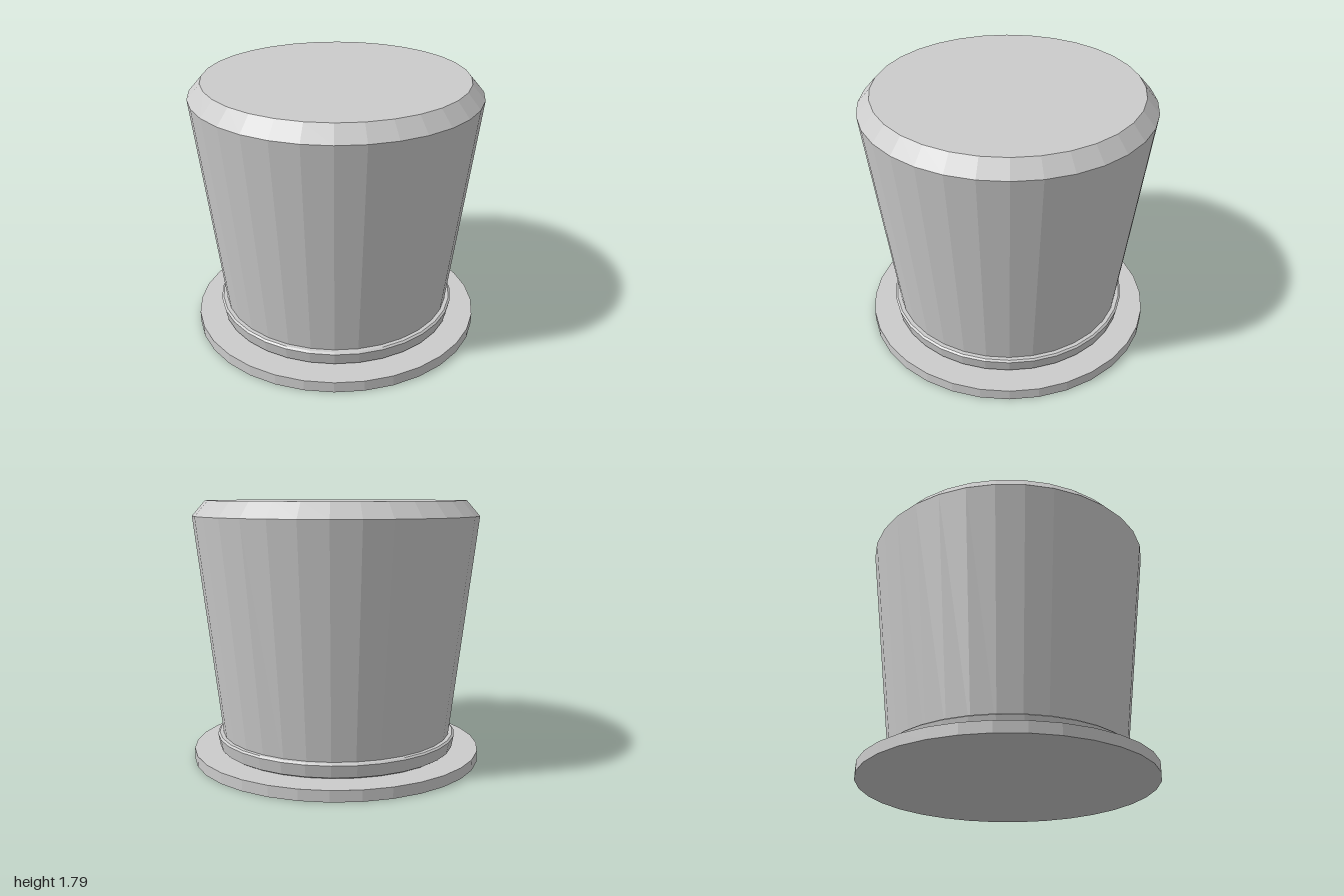
import * as THREE from 'three';

const SIDES = 32;

// Faceted solid of revolution; profile is [radius, y], listed from bottom to top.
function turned(name, profile) {
  const points = profile.map(([r, y]) => new THREE.Vector2(r, y));
  const material = new THREE.MeshStandardMaterial({ color: 0xcccccc, flatShading: true });
  const mesh = new THREE.Mesh(new THREE.LatheGeometry(points, SIDES), material);
  mesh.name = name;
  return mesh;
}

export function createModel() {
  const hat = new THREE.Group();
  hat.name = 'topHat';

  // Flat disc brim
  hat.add(turned('brim', [[0, 0], [1, 0], [1, 0.075], [0, 0.075]]));

  // Flared hat band with small bevels, wrapped round the foot of the crown
  hat.add(turned('band', [[0.78, 0.075], [0.805, 0.08], [0.822, 0.09], [0.838, 0.172], [0.825, 0.183], [0.79, 0.183]]));

  // Crown widening upward, with a chamfered top edge
  hat.add(turned('crown', [[0.785, 0.075], [0.978, 1.685], [0.89, 1.787], [0, 1.787]]));

  return hat;
}
